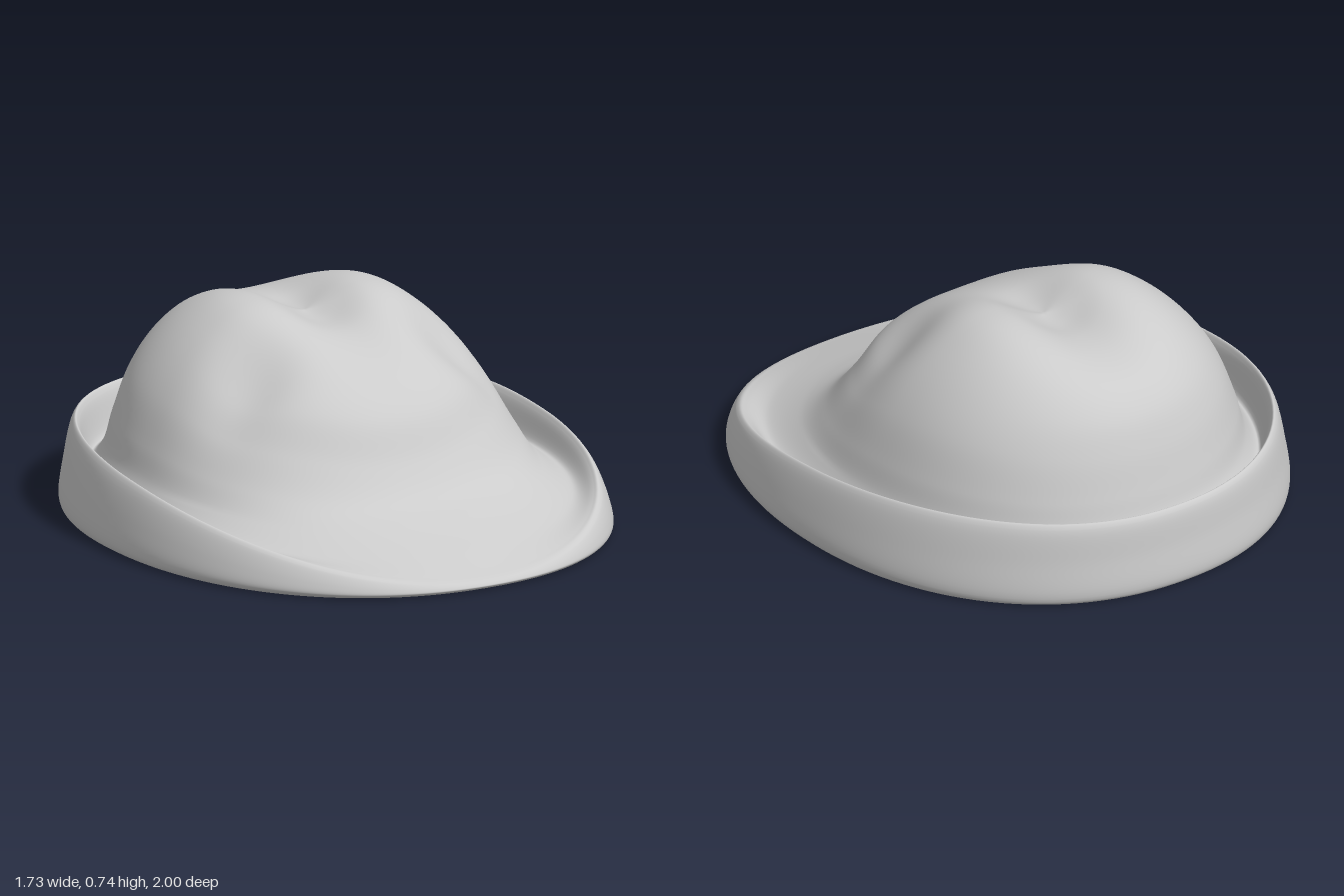
import * as THREE from 'three';
import { mergeVertices } from 'three/addons/utils/BufferGeometryUtils.js';

// Matching profiles from the underside, round the turned-up brim, to the crown top.
// Each row: side x, y | front z, y | back z, y
const RINGS = [
  [0, 0, 0, 0, 0, 0],                       // underside centre
  [0.82, 0, 0.95, 0, -0.96, 0],
  [0.85, 0.006, 0.985, 0.004, -0.99, 0.006],
  [0.862, 0.03, 1, 0.015, -1, 0.03],        // outer edge
  [0.847, 0.13, 0.997, 0.022, -0.99, 0.15],
  [0.815, 0.232, 0.987, 0.031, -0.977, 0.268],
  [0.8, 0.25, 0.972, 0.038, -0.963, 0.285], // rim
  [0.787, 0.232, 0.95, 0.046, -0.948, 0.265],
  [0.75, 0.14, 0.84, 0.088, -0.905, 0.14],  // gutter
  [0.695, 0.19, 0.68, 0.15, -0.86, 0.19],   // crown foot
  [0.65, 0.3, 0.57, 0.205, -0.83, 0.285],
  [0.585, 0.445, 0.48, 0.305, -0.79, 0.42],
  [0.5, 0.565, 0.4, 0.44, -0.74, 0.53],
  [0.4, 0.66, 0.3, 0.535, -0.66, 0.615],
  [0.3, 0.722, 0.18, 0.615, -0.54, 0.68],
  [0.2, 0.748, 0.03, 0.69, -0.4, 0.725],
  [0.1, 0.75, -0.1, 0.725, -0.29, 0.738],
  [0, 0.745, -0.2, 0.745, -0.2, 0.745],     // crown top
];

const profile = (col) => new THREE.CatmullRomCurve3(
  RINGS.map((r) => new THREE.Vector3(r[col], r[col + 1], 0)), false, 'centripetal');

const dent = (x, z, cx, cz, sx, sz) =>
  Math.exp(-(((x - cx) / sx) ** 2) - ((z - cz) / sz) ** 2);

const rounded = (v) => Math.sign(v) * Math.abs(v) ** 0.93;

function hatGeometry(steps, sides) {
  const [side, front, back] = [profile(0), profile(2), profile(4)];
  const pos = [], index = [];
  for (let i = 0; i <= steps; i++) {
    const u = i / steps;
    const s = side.getPoint(u), f = front.getPoint(u), b = back.getPoint(u);
    const mid = (f.x + b.x) / 2, half = (f.x - b.x) / 2;
    for (let j = 0; j < sides; j++) {
      const a = (j / sides) * Math.PI * 2, c = Math.cos(a);
      const x = s.x * rounded(Math.sin(a));
      const z = mid + half * rounded(c);
      // height runs smoothly through the front, side and back profiles
      let y = s.y + ((f.y - b.y) / 2) * c + ((f.y + b.y) / 2 - s.y) * c * c;
      // crease along the crown top and a pinch on each side of the front
      if (u > 9 / 17) {
        y -= 0.08 * dent(x, z, 0, -0.22, 0.14, 0.3);
        y -= 0.065 * dent(Math.abs(x), z, 0.4, 0.1, 0.15, 0.14);
      }
      pos.push(x, Math.max(y, 0), z);
      if (i < steps) {
        const k = (j + 1) % sides, p = i * sides, q = p + sides;
        index.push(p + j, p + k, q + k, p + j, q + k, q + j);
      }
    }
  }
  let geo = new THREE.BufferGeometry();
  geo.setAttribute('position', new THREE.Float32BufferAttribute(pos, 3));
  geo.setIndex(index);
  geo = mergeVertices(geo, 1e-5);
  geo.computeVertexNormals();
  return geo;
}

export function createModel() {
  const group = new THREE.Group();
  group.name = 'hat';
  const hat = new THREE.Mesh(
    hatGeometry(136, 128),
    new THREE.MeshStandardMaterial({ color: 0xcccccc }));
  hat.name = 'brimAndCrown';
  group.add(hat);
  return group;
}
